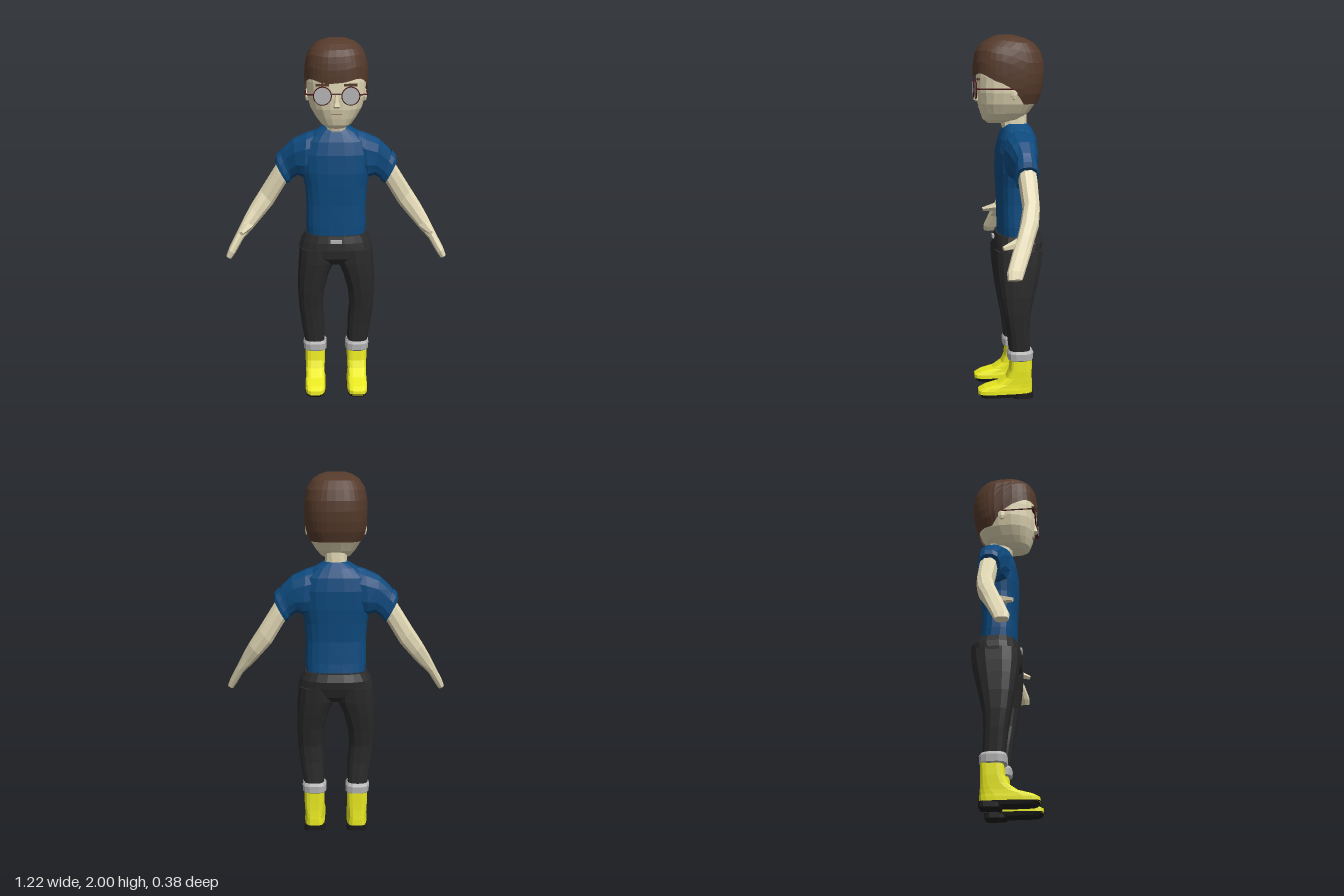
import * as THREE from 'three';

const paint = (color) => new THREE.MeshStandardMaterial({ color, flatShading: true, side: THREE.DoubleSide });
const V = (x, y, z) => new THREE.Vector3(x, y, z);
// rounded-square power curve used for all cross-sections
const squash = (v, e) => Math.sign(v) * Math.pow(Math.abs(v), 2 / e);

// Skin a list of equal-length rings, optionally capped; faces are turned outward by signed volume
function skin(rings, capStart = true, capEnd = true) {
  const tris = [];
  const n = rings[0].length;
  for (let k = 0; k + 1 < rings.length; k++) {
    for (let i = 0; i < n; i++) {
      const j = (i + 1) % n;
      const [a, b, c, d] = [rings[k][i], rings[k][j], rings[k + 1][j], rings[k + 1][i]];
      tris.push([a, b, c], [a, c, d]);
    }
  }
  const cap = (r, flip) => {
    const m = r.reduce((s, p) => s.add(p), V(0, 0, 0)).divideScalar(n);
    r.forEach((p, i) => {
      const q = r[(i + 1) % n];
      tris.push(flip ? [m, q, p] : [m, p, q]);
    });
  };
  if (capStart) cap(rings[0], true);
  if (capEnd) cap(rings[rings.length - 1], false);
  const origin = rings[0][0];
  let volume = 0;
  for (const t of tris) {
    const [a, b, c] = t.map((p) => p.clone().sub(origin));
    volume += a.dot(b.cross(c));
  }
  const pts = tris.flatMap((t) => (volume < 0 ? [t[0], t[2], t[1]] : t));
  const g = new THREE.BufferGeometry().setFromPoints(pts);
  g.computeVertexNormals();
  return g;
}

// Section: edge point A, edge point B (in x,y), front z and back z
function loft(sections, { n = 12, e = 2.6, side = 1 } = {}) {
  return skin(sections.map(([ax, ay, bx, by, zf, zb]) =>
    Array.from({ length: n }, (_, i) => {
      const t = ((i + 0.5) / n) * Math.PI * 2;
      const c = squash(Math.cos(t), e), s = squash(Math.sin(t), e);
      return V(side * ((ax + bx) / 2 + (c * (ax - bx)) / 2), (ay + by) / 2 + (c * (ay - by)) / 2,
        (zf + zb) / 2 + (s * (zf - zb)) / 2);
    })));
}
// Level sections: [y, half width, front z, back z]
const level = (rows) => rows.map(([y, w, f, b]) => [w, y, -w, y, f, b]);
// Level sections off centre: [y, inner x, outer x, front z, back z]
const offset = (rows) => rows.map(([y, i, o, f, b]) => [o, y, i, y, f, b]);

function rod(a, b, r0, r1 = r0, sides = 6) {
  const g = new THREE.CylinderGeometry(r1, r0, a.distanceTo(b), sides);
  g.applyQuaternion(new THREE.Quaternion().setFromUnitVectors(V(0, 1, 0), b.clone().sub(a).normalize()));
  return g.translate((a.x + b.x) / 2, (a.y + b.y) / 2, (a.z + b.z) / 2);
}

// Cap of hair whose lower edge waves over the brow and drops behind the temples
function hairGeometry() {
  const profile = [[1.62, 0.13, 0.17, -0.145], [1.66, 0.152, 0.175, -0.165], [1.72, 0.166, 0.182, -0.182],
    [1.79, 0.17, 0.19, -0.192], [1.86, 0.168, 0.188, -0.188], [1.92, 0.155, 0.175, -0.17],
    [1.96, 0.13, 0.145, -0.135], [1.985, 0.095, 0.1, -0.085], [2.0, 0.05, 0.06, -0.03]];
  const at = (y) => {
    let k = 0;
    while (k < profile.length - 2 && y > profile[k + 1][0]) k++;
    const [p, q] = [profile[k], profile[k + 1]];
    const f = (y - p[0]) / (q[0] - p[0]);
    return p.map((v, i) => THREE.MathUtils.lerp(v, q[i], f));
  };
  const n = 36;
  const rings = [0, 0.15, 0.3, 0.45, 0.6, 0.75, 0.88, 0.95, 1].map((f) =>
    Array.from({ length: n }, (_, i) => {
      const t = (i / n) * Math.PI * 2;
      const a = Math.min(t, Math.PI * 2 - t);
      const fringe = 1.797 + 0.018 * Math.sin(t * 4 - 1.2) - 0.02 * a;
      const low = THREE.MathUtils.lerp(fringe, 1.64, THREE.MathUtils.smoothstep(a, 1.4, 1.95));
      const [y, w, zf, zb] = at(THREE.MathUtils.lerp(low, 2, f));
      return V(w * squash(Math.sin(t), 2.7), y, (zf + zb) / 2 + ((zf - zb) / 2) * squash(Math.cos(t), 2.7));
    }));
  return skin(rings, false, true);
}

export function createModel() {
  const model = new THREE.Group();
  const skinTone = paint(0xe2d8b5), blue = paint(0x0d4a7e), black = paint(0x2a2a2a), yellow = paint(0xeaea22),
    soleBlack = paint(0x1c1c1c), brown = paint(0x553a2b), grey = paint(0xb4b4b4), wine = paint(0x4a1518);
  const add = (name, geometry, material) => {
    const m = new THREE.Mesh(geometry, material);
    m.name = name;
    model.add(m);
    return m;
  };

  // Head, neck and face
  add('head', loft(level([[1.535, 0.045, 0.115, 0.01], [1.555, 0.08, 0.14, -0.06], [1.59, 0.108, 0.152, -0.11],
    [1.64, 0.138, 0.165, -0.145], [1.7, 0.155, 0.172, -0.165], [1.78, 0.16, 0.172, -0.175],
    [1.88, 0.148, 0.165, -0.16], [1.94, 0.1, 0.11, -0.1]]), { n: 20, e: 2.5 }), skinTone);
  add('neck', loft(level([[1.46, 0.075, 0.02, -0.12], [1.53, 0.06, 0.04, -0.1], [1.62, 0.062, 0.05, -0.1]])), skinTone);
  add('nose', loft(level([[1.65, 0.014, 0.178, 0.14], [1.66, 0.02, 0.19, 0.14], [1.68, 0.014, 0.184, 0.14],
    [1.72, 0.008, 0.175, 0.14]]), { n: 8 }), skinTone);
  add('mouth', new THREE.BoxGeometry(0.055, 0.005, 0.01).translate(0, 1.617, 0.158), paint(0x9a7f6a));
  add('hair', hairGeometry(), brown);

  // Glasses
  add('glassesBridge', rod(V(-0.028, 1.725, 0.184), V(0.028, 1.725, 0.184), 0.004), wine);

  // Torso and hips
  add('shirtBody', loft(level([[0.9, 0.162, 0.06, -0.145], [0.98, 0.168, 0.062, -0.135], [1.1, 0.166, 0.064, -0.13],
    [1.2, 0.172, 0.07, -0.14], [1.28, 0.19, 0.073, -0.15], [1.38, 0.195, 0.07, -0.158], [1.45, 0.175, 0.055, -0.15],
    [1.5, 0.12, 0.035, -0.13], [1.53, 0.068, 0.02, -0.105]]), { n: 20 }), blue);
  add('hips', loft(level([[0.765, 0.13, 0.06, -0.13], [0.8, 0.205, 0.085, -0.165], [0.85, 0.208, 0.09, -0.183],
    [0.89, 0.195, 0.086, -0.19], [0.93, 0.172, 0.075, -0.172]]), { n: 20 }), black);
  add('beltBuckle', new THREE.BoxGeometry(0.062, 0.018, 0.02).translate(0, 0.903, 0.081), grey);

  for (const side of [1, -1]) {
    const s = side > 0 ? 'left' : 'right';
    const opt = { side };

    // Lens, rim, temple and eyebrow
    add(s + 'Lens', new THREE.CylinderGeometry(0.044, 0.044, 0.006, 20).rotateX(Math.PI / 2)
      .translate(side * 0.073, 1.715, 0.182), grey);
    add(s + 'Rim', new THREE.TorusGeometry(0.045, 0.004, 5, 20).translate(side * 0.073, 1.715, 0.182), wine);
    add(s + 'TempleHinge', rod(V(side * 0.117, 1.722, 0.18), V(side * 0.163, 1.722, 0.165), 0.004), wine);
    add(s + 'Temple', rod(V(side * 0.163, 1.722, 0.165), V(side * 0.163, 1.722, -0.01), 0.004), wine);
    add(s + 'Eyebrow', new THREE.BoxGeometry(0.07, 0.012, 0.012).translate(side * 0.073, 1.77, 0.167), brown);
    add(s + 'Ear', new THREE.SphereGeometry(1, 6, 5).scale(0.012, 0.035, 0.022).translate(side * 0.155, 1.7, -0.01), skinTone);

    // Sleeve with its rolled hem
    add(s + 'Sleeve', loft([[0.06, 1.52, 0.12, 1.24, 0.03, -0.13], [0.16, 1.49, 0.175, 1.24, 0.045, -0.14],
      [0.235, 1.455, 0.21, 1.255, 0.025, -0.13], [0.29, 1.405, 0.24, 1.235, 0, -0.118],
      [0.325, 1.36, 0.265, 1.215, -0.01, -0.115]], opt), blue);
    add(s + 'SleeveHem', loft([[0.31, 1.39, 0.245, 1.225, 0, -0.118], [0.332, 1.365, 0.255, 1.213, 0.004, -0.122],
      [0.338, 1.335, 0.268, 1.205, 0.002, -0.12], [0.325, 1.32, 0.275, 1.215, -0.01, -0.112]], opt), blue);

    // Arm running into a flat hand, with a thumb
    add(s + 'Arm', loft([[0.3, 1.36, 0.25, 1.24, -0.015, -0.11], [0.338, 1.3, 0.28, 1.2, -0.015, -0.115],
      [0.42, 1.17, 0.35, 1.085, -0.025, -0.115], [0.475, 1.085, 0.415, 1.01, -0.002, -0.1],
      [0.515, 1.015, 0.465, 0.955, 0.022, -0.07], [0.55, 0.945, 0.515, 0.905, 0.05, -0.045],
      [0.595, 0.86, 0.56, 0.83, 0.08, -0.01], [0.61, 0.82, 0.58, 0.802, 0.078, 0.005]], { side, n: 10 }), skinTone);
    add(s + 'Thumb', rod(V(side * 0.49, 0.975, 0), V(side * 0.52, 0.955, 0.09), 0.03, 0.012, 5), skinTone);

    // Trouser leg and turned-up cuff
    add(s + 'TrouserLeg', loft(offset([[0.26, 0.065, 0.178, 0.01, -0.11], [0.4, 0.066, 0.2, 0.027, -0.103],
      [0.5, 0.075, 0.212, 0.045, -0.108], [0.6, 0.066, 0.217, 0.063, -0.13], [0.7, 0.038, 0.216, 0.078, -0.155],
      [0.77, 0.006, 0.213, 0.086, -0.17], [0.85, 0.003, 0.205, 0.088, -0.18]]), { side, n: 14, e: 2.8 }), black);
    add(s + 'TrouserCuff', loft(offset([[0.22, 0.062, 0.178, 0.01, -0.115], [0.228, 0.053, 0.187, 0.02, -0.123],
      [0.265, 0.053, 0.19, 0.022, -0.125], [0.28, 0.062, 0.182, 0.014, -0.115]]), { side, e: 3 }), grey);

    // Boot with sole and heel
    add(s + 'Boot', loft(offset([[0.025, 0.062, 0.178, 0.187, -0.12], [0.05, 0.062, 0.178, 0.185, -0.12],
      [0.066, 0.066, 0.176, 0.155, -0.12], [0.085, 0.067, 0.175, 0.08, -0.118], [0.12, 0.066, 0.176, 0.028, -0.116],
      [0.16, 0.064, 0.178, 0.01, -0.116], [0.235, 0.064, 0.178, 0.002, -0.118]]), { side, n: 16, e: 4 }), yellow);
    add(s + 'Sole', loft(offset([[0.01, 0.064, 0.176, 0.17, -0.12], [0.03, 0.058, 0.182, 0.19, -0.125]]),
      { side, n: 16, e: 4 }), soleBlack);
    add(s + 'Heel', loft(offset([[0, 0.06, 0.18, -0.01, -0.122], [0.03, 0.06, 0.18, 0.005, -0.125]]),
      { side, n: 16, e: 5 }), soleBlack);
  }
  return model;
}
